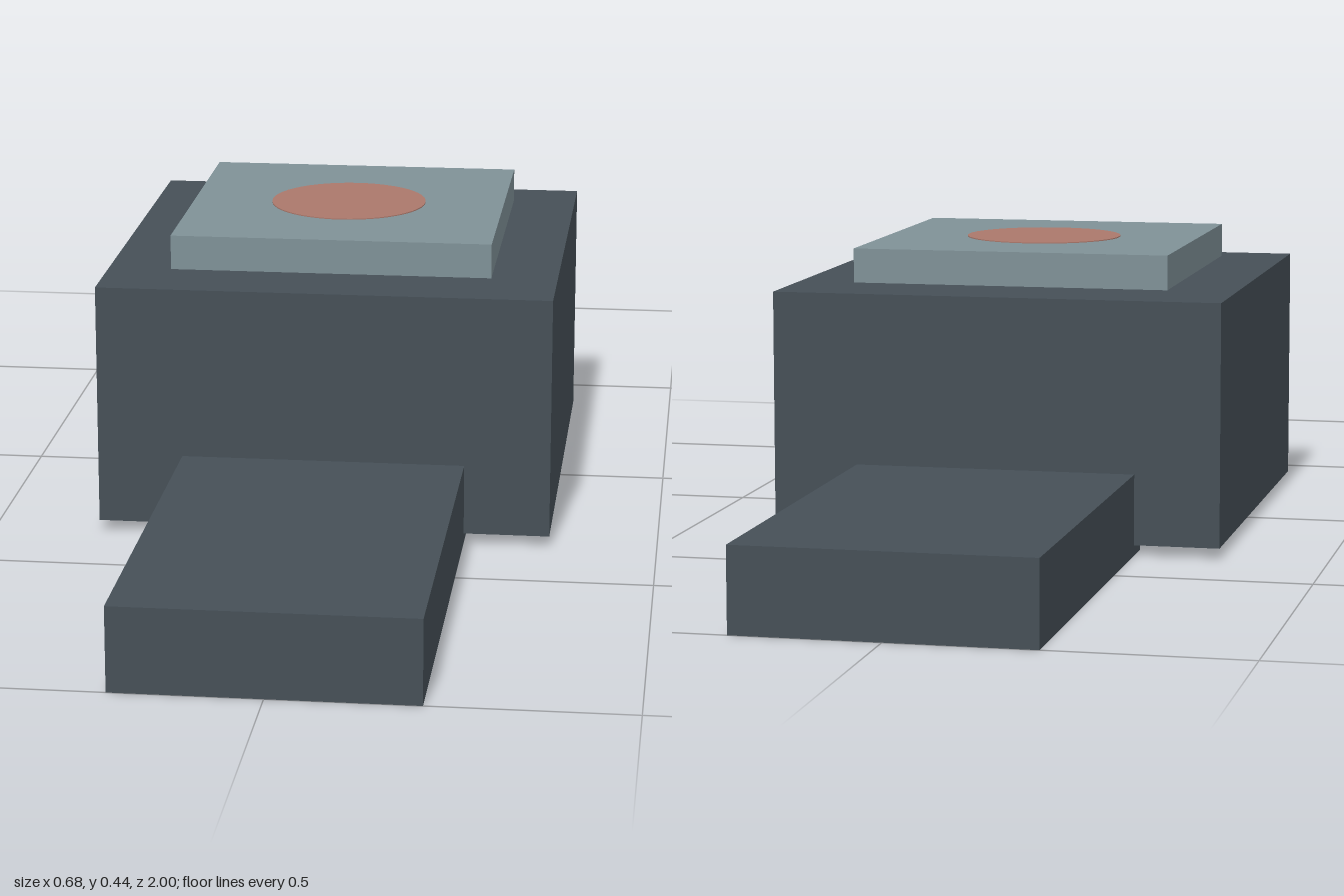
import * as THREE from 'three';

const flat = (name, color) => {
  const material = new THREE.MeshStandardMaterial({ color });
  material.name = name;
  return material;
};

export function createModel() {
  const model = new THREE.Group();
  const slate = flat('dark slate', 0x465057);
  const glass = flat('grey blue', 0x7f9197);
  const clay = flat('clay red', 0xab786b);

  const add = (name, geometry, material, y, z = 0) => {
    const mesh = new THREE.Mesh(geometry, material);
    mesh.name = name;
    mesh.position.set(0, y, z);
    model.add(mesh);
  };

  // Case, standing slightly above the ground
  add('case', new THREE.BoxGeometry(0.68, 0.364, 0.696), slate, 0.198);

  // Straps, tucked under the case at front and back
  for (const [name, side] of [['frontStrap', 1], ['backStrap', -1]]) {
    add(name, new THREE.BoxGeometry(0.424, 0.122, 0.7), slate, 0.061, side * 0.65);
  }

  // Screen plate, floating just over the case
  add('screen', new THREE.BoxGeometry(0.484, 0.052, 0.496), glass, 0.411);

  // Thin round dial on the screen
  add('dial', new THREE.CylinderGeometry(0.12, 0.12, 0.002, 48), clay, 0.4375);

  return model;
}
